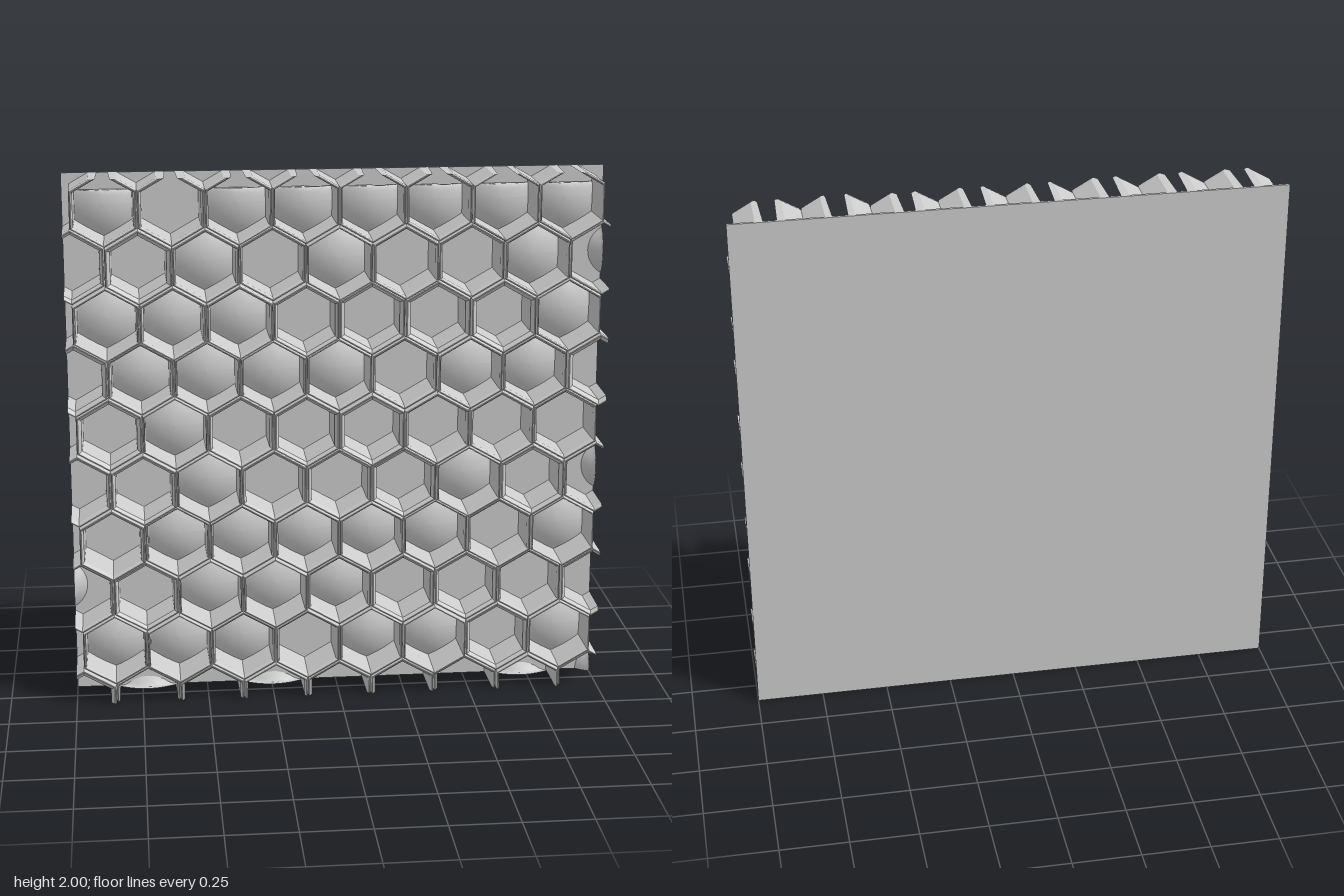
import * as THREE from 'three';
import { mergeGeometries } from 'three/addons/utils/BufferGeometryUtils.js';

const PITCH = 0.2428, APOTHEM = PITCH / 2, ROW = 0.21;
const BACK = -0.1, FLOOR = -0.09;

// One string per row from the bottom up; 1 marks a cell with a domed floor
const DOMES = [
  '010100011', '11101101', '101110000', '01111101', '001000101',
  '01000000', '011110110', '11100001', '001010011', '10111111',
];

let seed = 7;
const random = () => (seed = (seed * 16807) % 2147483647) / 2147483647;

// Limits of the segment a-b inside the panel, as fractions of its length
function clip(a, b) {
  let t0 = 0, t1 = 1;
  const cut = (p, q, lo, hi) => {
    const d = q - p;
    if (Math.abs(d) < 1e-9) { if (p < lo || p > hi) t1 = -1; return; }
    const u = (lo - p) / d, v = (hi - p) / d;
    t0 = Math.max(t0, Math.min(u, v));
    t1 = Math.min(t1, Math.max(u, v));
  };
  cut(a[0], b[0], -1, 1);
  cut(a[1], b[1], 0, 2);
  return [t0, t1];
}

function fromTriangles(points) {
  const g = new THREE.BufferGeometry();
  g.setAttribute('position', new THREE.Float32BufferAttribute(points.flat(), 3));
  g.computeVertexNormals();
  return g;
}

// Hexagonal wall: a rim profile swept along the six sides, cut at the panel edge
function cellWall(cx, cy, inner, top) {
  const profile = [
    [APOTHEM, FLOOR], [APOTHEM, top - 0.02], [0.1175, top],
    [0.114, top], [inner + 0.003, top - 0.013], [inner, FLOOR],
  ];
  const tris = [];
  for (let k = 0; k < 6; k++) {
    const corner = (ap, n) => {
      const r = ap / Math.cos(Math.PI / 6), t = Math.PI / 6 + n * Math.PI / 3;
      return [cx + r * Math.cos(t), cy + r * Math.sin(t)];
    };
    let cutStart = false, cutEnd = false, outside = false;
    const rows = profile.map(([ap, z]) => {
      const a = corner(ap, k), b = corner(ap, k + 1), [t0, t1] = clip(a, b);
      if (t0 >= t1) outside = true;
      if (t0 > 0) cutStart = true;
      if (t1 < 1) cutEnd = true;
      return [t0, t1].map(t => [a[0] + (b[0] - a[0]) * t, a[1] + (b[1] - a[1]) * t, z]);
    });
    if (outside) continue;
    for (let i = 0; i < rows.length - 1; i++) {
      const [a, b] = rows[i], [d, c] = rows[i + 1];
      tris.push(a, b, c, a, c, d);
    }
    // Close the cut ends
    for (let i = 1; i < rows.length - 1; i++) {
      if (cutStart) tris.push(rows[0][0], rows[i][0], rows[i + 1][0]);
      if (cutEnd) tris.push(rows[0][1], rows[i][1], rows[i + 1][1]);
    }
  }
  return tris;
}

// Domed floor: rings that fade from the middle to a hexagon (or circle)
function dome(cx, cy, ap, round, yMax) {
  const rings = 6, segs = 36, pos = [], index = [];
  for (let i = 0; i <= rings; i++) {
    for (let j = 0; j <= segs; j++) {
      const t = j / segs * Math.PI * 2;
      const within = (t % (Math.PI / 3)) - Math.PI / 6;
      const turned = ((t + Math.PI / 6) % (Math.PI / 3)) - Math.PI / 6;
      const edge = round ? ap : ap / Math.cos(Math.abs(turned) < Math.PI / 6 + 1e-6 ? turned : within);
      const r = edge * i / rings;
      const z = -0.045 - 0.045 * (r / (round ? ap : 0.135)) ** 2;
      pos.push(
        THREE.MathUtils.clamp(cx + r * Math.cos(t), -1, 1),
        THREE.MathUtils.clamp(cy + r * Math.sin(t), 0, yMax), z);
      if (i < rings && j < segs) {
        const a = i * (segs + 1) + j, b = a + segs + 1;
        index.push(a, b, b + 1, a, b + 1, a + 1);
      }
    }
  }
  const g = new THREE.BufferGeometry();
  g.setAttribute('position', new THREE.Float32BufferAttribute(pos, 3));
  g.setIndex(index);
  g.computeVertexNormals();
  return g;
}

export function createModel() {
  const model = new THREE.Group();
  model.name = 'honeycombPanel';
  const grey = new THREE.MeshStandardMaterial({ color: 0xcccccc, side: THREE.DoubleSide });
  grey.name = 'lightGrey';
  const add = (name, geometry) => {
    const mesh = new THREE.Mesh(geometry, grey);
    mesh.name = name;
    model.add(mesh);
    return mesh;
  };

  // Backing plate
  add('backPlate', new THREE.BoxGeometry(2, 2, FLOOR - BACK))
    .position.set(0, 1, (FLOOR + BACK) / 2);

  // Staggered rows of cells
  DOMES.forEach((marks, row) => {
    const walls = [], domes = [], cy = row * ROW;
    [...marks].forEach((mark, i) => {
      const cx = (i - (marks.length - 1) / 2) * PITCH;
      const domed = mark === '1';
      const inner = domed ? 0.104 + 0.005 * random() : 0.097 + 0.008 * random();
      walls.push(...cellWall(cx, cy, inner, 0.068 + 0.03 * random()));
      if (!domed) return;
      const side = Math.abs(cx) > 0.9;
      if (side) domes.push(dome(Math.sign(cx) * 1.05, cy, 0.1, true, 2));
      else if (row === 0) domes.push(dome(cx, -0.09, 0.125, true, 2));
      else domes.push(dome(cx, cy, inner, false, row === 9 ? 1.94 : 2));
    });
    add(`cellWallsRow${row + 1}`, fromTriangles(walls));
    if (domes.length) add(`domedFloorsRow${row + 1}`, mergeGeometries(domes));
  });
  return model;
}
